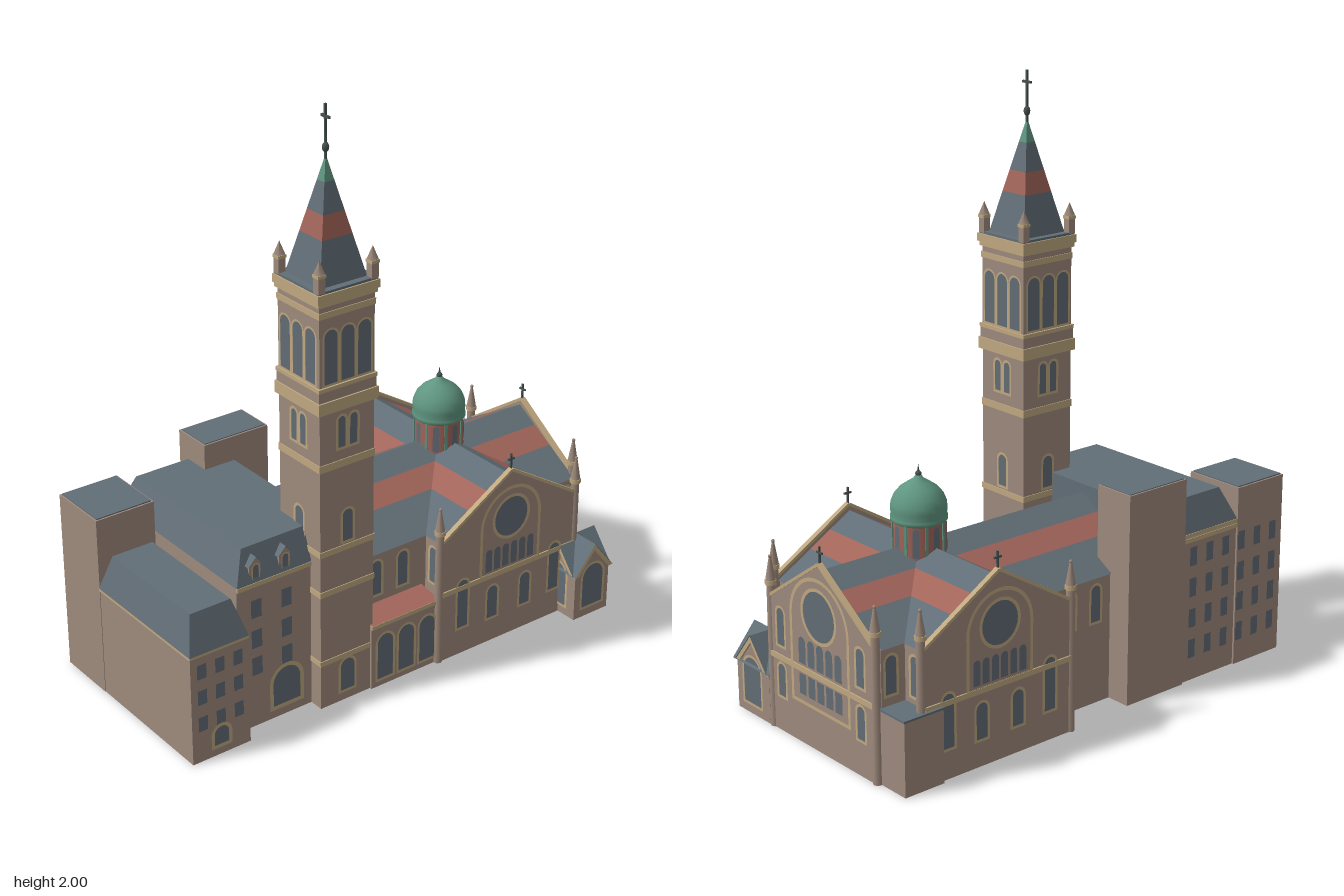
import * as THREE from 'three';

const mat = (name, color, side = THREE.FrontSide) => {
  const m = new THREE.MeshStandardMaterial({ color, side });
  m.name = name;
  return m;
};

export function createModel() {
  const root = new THREE.Group();
  root.name = 'church';
  const wall = mat('brownstone', 0x9e8a7c, THREE.DoubleSide), trim = mat('sandstone', 0xc0a880);
  const slate = mat('slate', 0x626e77, THREE.DoubleSide), glass = mat('glass', 0x626c75);
  const red = mat('redTile', 0xa2655a, THREE.DoubleSide), green = mat('copper', 0x5f9580);
  const dark = mat('darkMetal', 0x47514f);
  const CX = 0.44, CZ = -0.037, RIDGE = 0.612, SLOPE = 0.59;

  const add = (parent, name, geo, m) => {
    const mesh = new THREE.Mesh(geo, m);
    mesh.name = name;
    parent.add(mesh);
    return mesh;
  };
  // Drops the faces lying on the ground, leaving a hollow shell
  const hollow = source => {
    const geo = source.index ? source.toNonIndexed() : source;
    const p = geo.attributes.position, pos = [];
    for (let i = 0; i < p.count; i += 3) {
      if ([0, 1, 2].every(k => Math.abs(p.getY(i + k)) < 1e-5)) continue;
      for (let k = 0; k < 3; k++) pos.push(p.getX(i + k), p.getY(i + k), p.getZ(i + k));
    }
    const out = new THREE.BufferGeometry();
    out.setAttribute('position', new THREE.Float32BufferAttribute(pos, 3));
    out.computeVertexNormals();
    return out;
  };
  const box = (p, name, m, x0, x1, y0, y1, z0, z1) => {
    const geo = new THREE.BoxGeometry(x1 - x0, y1 - y0, z1 - z0).translate((x0 + x1) / 2, (y0 + y1) / 2, (z0 + z1) / 2);
    return add(p, name, y0 === 0 && m === wall ? hollow(geo) : geo, m);
  };
  const group = (name, x = 0, z = 0, rot = 0, parent = root) => {
    const g = new THREE.Group();
    g.name = name;
    g.position.set(x, 0, z);
    g.rotation.y = rot;
    parent.add(g);
    return g;
  };
  const extrude = (shape, depth) => new THREE.ExtrudeGeometry(shape, { depth, bevelEnabled: false });
  const poly = pts => new THREE.Shape(pts.map(p => new THREE.Vector2(...p)));
  const strips = (p, name, m, quads) => {
    const geo = new THREE.BufferGeometry();
    const pos = quads.flatMap(([a, b, c, d]) => [a, b, c, a, c, d]).flat();
    geo.setAttribute('position', new THREE.Float32BufferAttribute(pos, 3));
    geo.computeVertexNormals();
    return add(p, name, geo, m);
  };

  // Round-headed openings as flat faces just off the local z = 0 plane
  const arch = (w, y0, y1) => {
    const s = new THREE.Shape();
    s.moveTo(-w, y0); s.lineTo(w, y0); s.lineTo(w, y1 - w);
    s.absarc(0, y1 - w, w, 0, Math.PI, false);
    return s;
  };
  const archFrame = (p, u, w, y0, y1, t) => {
    const s = arch(w + t, y0 - t, y1 + t);
    s.holes.push(arch(w, y0, y1));
    add(p, 'archFrame', new THREE.ShapeGeometry(s, 10).translate(u, 0, 0.004), trim);
  };
  const archWindow = (p, u, w, y0, y1, t = 0.009) => {
    add(p, 'archWindow', new THREE.ShapeGeometry(arch(w, y0, y1), 10).translate(u, 0, 0.003), glass);
    if (t) archFrame(p, u, w, y0, y1, t);
  };
  const squareWindow = (p, u, y, w, h) =>
    add(p, 'window', new THREE.PlaneGeometry(w, h).translate(u, y, 0.003), glass);

  // Box whose top edge is drawn in: left, right, front, back
  const mansard = (p, x0, x1, y0, y1, z0, z1, [l, r, f, b]) => {
    const geo = new THREE.BoxGeometry(x1 - x0, y1 - y0, z1 - z0).toNonIndexed();
    const a = geo.attributes.position;
    for (let i = 0; i < a.count; i++) if (a.getY(i) > 0) {
      a.setX(i, a.getX(i) + (a.getX(i) < 0 ? l : -r));
      a.setZ(i, a.getZ(i) + (a.getZ(i) < 0 ? b : -f));
    }
    geo.computeVertexNormals();
    add(p, 'mansardRoof', geo.translate((x0 + x1) / 2, (y0 + y1) / 2, (z0 + z1) / 2), slate);
  };

  const cross = (p, y, z) => {
    const g = group('cross', 0, z, 0, p);
    box(g, 'crossPost', dark, -0.003, 0.003, y, y + 0.06, -0.003, 0.003);
    box(g, 'crossArm', dark, -0.014, 0.014, y + 0.037, y + 0.043, -0.003, 0.003);
  };

  // Crossing arms: pentagonal bodies and striped roofs, running along local z
  const arm = (name, x, z, rot, z0, z1) => {
    const g = group(name, x, z, rot), h = 0.284, e = 0.29, top = RIDGE - 0.005;
    add(g, 'walls', hollow(extrude(poly([[-h, 0], [h, 0], [h, top - h * SLOPE], [0, top], [-h, top - h * SLOPE]]), z1 - z0)), wall).position.z = z0;
    const bands = [[0, 0.08, slate], [0.08, 0.16, red], [0.16, e, slate]];
    for (const [d0, d1, m] of bands) strips(g, 'roofBand', m, [1, -1].map(s => {
      const q = [[s * d0, RIDGE - d0 * SLOPE, z0], [s * d0, RIDGE - d0 * SLOPE, z1],
        [s * d1, RIDGE - d1 * SLOPE, z1], [s * d1, RIDGE - d1 * SLOPE, z0]];
      return s > 0 ? q : q.reverse();
    }));
  };
  arm('nave', 0, CZ, Math.PI / 2, -0.26, 0.815);
  arm('transept', CX, 0, 0, -0.41, 0.33);

  // Gable fronts with corner pinnacles
  const gable = (name, x, z, rot, h, big) => {
    const g = group(name, x, z, rot), eave = 0.45, peak = 0.63;
    add(g, 'gableWall', hollow(extrude(poly([[-h, 0], [h, 0], [h, eave], [0, peak], [-h, eave]]), 0.014)), wall).position.z = -0.014;
    const len = Math.hypot(h, peak - eave), ang = Math.atan2(peak - eave, h);
    for (const s of [-1, 1]) {
      const c = add(g, 'coping', new THREE.BoxGeometry(len, 0.01, 0.018), trim);
      c.position.set(s * h / 2, (eave + peak) / 2 + 0.003, -0.006);
      c.rotation.z = -s * ang;
      const p = group('pinnacle', s * (h + 0.005), -0.008, 0, g);
      const post = (n, r0, r1, y0, y1, m) => add(p, n, new THREE.CylinderGeometry(r1, r0, y1 - y0, 8).translate(0, (y0 + y1) / 2, 0), m);
      post('pinnacleShaft', 0.016, 0.014, 0, 0.49, wall);
      post('pinnacleCollar', 0.019, 0.019, 0.485, 0.5, trim);
      post('pinnacleSpike', 0.017, 0.004, 0.5, 0.575, wall);
      add(p, 'pinnacleBall', new THREE.SphereGeometry(0.006, 8, 6).translate(0, 0.578, 0), wall);
    }
    cross(g, peak, -0.007);
    box(g, 'stringCourse', trim, -h, h, 0.247, 0.265, 0, 0.005);
    const r = big ? 0.082 : 0.072;
    add(g, 'roseWindow', new THREE.CircleGeometry(r, 28).translate(0, 0.46, 0.003), glass);
    add(g, 'roseFrame', new THREE.RingGeometry(r, r + 0.011, 28).translate(0, 0.46, 0.005), trim);
    if (big) {
      archFrame(g, 0, 0.142, 0.15, 0.573, 0.012);
      for (let i = -2; i <= 2; i++) {
        archWindow(g, i * 0.047, 0.018, 0.275, 0.365, 0);
        squareWindow(g, i * 0.047, 0.205, 0.036, 0.07);
      }
      for (const u of [-0.207, 0.207]) {
        archWindow(g, u, 0.019, 0.3, 0.425);
        archWindow(g, u, 0.019, 0.125, 0.235);
      }
    } else {
      archFrame(g, 0, 0.122, 0.267, 0.563, 0.012);
      for (let i = -2.5; i <= 2.5; i++) archWindow(g, i * 0.037, 0.014, 0.275, 0.36, 0);
      for (const u of [-0.205, 0.205]) archWindow(g, u, 0.022, 0.105, 0.285);
      for (const u of [-0.073, 0.073]) archWindow(g, u, 0.022, 0.095, 0.215);
    }
  };
  gable('frontGable', CX, 0.345, 0, 0.295, false);
  gable('backGable', CX, -0.425, Math.PI, 0.295, false);
  gable('eastGable', 0.832, CZ, Math.PI / 2, 0.265, true);

  // Side windows of nave and transept
  for (const s of [1, -1]) {
    const n = group('naveSide', 0, CZ + s * 0.284, s > 0 ? 0 : Math.PI);
    for (const x of [-0.055, 0.055, 0.78]) archWindow(n, s * x, 0.02, 0.29, 0.415);
    const t = group('transeptSide', CX + s * 0.284, 0, s * Math.PI / 2);
    for (const z of [0.29, -0.37]) archWindow(t, -s * z, 0.017, 0.28, 0.41);
  }

  // Low arcade with a lean-to roof
  const arcade = group('arcade', 0, 0.335);
  box(arcade, 'arcadeWall', wall, -0.14, 0.14, 0, 0.238, -0.1, 0);
  box(arcade, 'arcadeCornice', trim, -0.14, 0.14, 0.226, 0.24, -0.01, 0.005);
  for (const x of [-0.085, 0.003, 0.091]) archWindow(arcade, x, 0.032, 0.03, 0.195);
  strips(arcade, 'leanToRoof', red, [[[-0.14, 0.241, 0.005], [0.14, 0.241, 0.005], [0.14, 0.258, -0.09], [-0.14, 0.258, -0.09]]]);

  // Crossing lantern and dome
  const dome = group('lantern', CX, CZ);
  add(dome, 'drum', new THREE.CylinderGeometry(0.086, 0.086, 0.17, 24).translate(0, 0.61, 0), red);
  for (let i = 0; i < 8; i++) {
    const bay = group('drumBay', 0, 0, i * Math.PI / 4, dome);
    archWindow(group('drumOpening', 0, 0.0845, 0, bay), 0, 0.011, 0.585, 0.68, 0);
    const rib = group('drumRib', 0, 0, (i + 0.5) * Math.PI / 4, dome);
    box(rib, 'rib', green, -0.005, 0.005, 0.54, 0.69, 0.08, 0.089);
  }
  const domePts = [[0.086, 0.685], [0.092, 0.69], [0.092, 0.7], [0.088, 0.706], [0.091, 0.725], [0.089, 0.745],
    [0.079, 0.77], [0.06, 0.792], [0.037, 0.808], [0.018, 0.82], [0.006, 0.836]];
  add(dome, 'dome', new THREE.LatheGeometry(domePts.map(p => new THREE.Vector2(...p)), 24), green);
  add(dome, 'finialBall', new THREE.SphereGeometry(0.01, 10, 8).translate(0, 0.836, 0), dark);
  add(dome, 'finialSpike', new THREE.ConeGeometry(0.005, 0.03, 8).translate(0, 0.853, 0), dark);

  // Bell tower
  const tower = group('tower', -0.235, 0.222);
  const tier = (name, m, h, y0, y1) => box(tower, name, m, -h, h, y0, y1, -h, h);
  tier('shaft', wall, 0.105, 0, 1.43);
  for (const [y0, y1] of [[0.16, 0.178], [0.415, 0.435], [0.56, 0.58], [0.86, 0.885], [1.375, 1.395]]) tier('band', trim, 0.108, y0, y1);
  tier('lowerCornice', trim, 0.115, 1.06, 1.1);
  tier('balcony', wall, 0.11, 1.1, 1.135);
  tier('belfrySill', trim, 0.112, 1.135, 1.148);
  tier('corniceTrim', trim, 0.112, 1.415, 1.43);
  tier('upperCornice', trim, 0.117, 1.43, 1.457);
  tier('spireBase', slate, 0.112, 1.457, 1.465);
  for (let i = 0; i < 4; i++) {
    const g = group('towerFace', 0, 0, i * Math.PI / 2, tower), f = group('openings', 0, 0.105, 0, g);
    for (const u of [-0.064, 0, 0.064]) archWindow(f, u, 0.025, 1.157, 1.335, 0.007);
    for (const u of [-0.023, 0.023]) archWindow(f, u, 0.014, 0.93, 1.035);
    archWindow(f, 0, 0.02, 0.595, 0.705);
    if (i === 0) archWindow(f, 0, 0.028, 0.04, 0.155);
    const p = group('cornerPinnacle', 0.1, 0.1, 0, g);
    box(p, 'turret', wall, -0.013, 0.013, 1.46, 1.515, -0.013, 0.013);
    box(p, 'turretCap', trim, -0.015, 0.015, 1.51, 1.52, -0.015, 0.015);
    add(p, 'turretSpike', new THREE.ConeGeometry(0.019, 0.045, 4).rotateY(Math.PI / 4).translate(0, 1.542, 0), wall);
  }
  // Spire in coloured tiers
  const spireR = y => Math.SQRT2 * 0.088 * (1.845 - y) / 0.38;
  for (const [y0, y1, m] of [[1.465, 1.6, slate], [1.6, 1.672, red], [1.672, 1.765, slate], [1.765, 1.845, green]])
    add(tower, 'spireTier', new THREE.CylinderGeometry(spireR(y1), spireR(y0), y1 - y0, 4, 1, true).rotateY(Math.PI / 4)
      .translate(0, (y0 + y1) / 2, 0).toNonIndexed(), m).geometry.computeVertexNormals();
  add(tower, 'spireBall', new THREE.SphereGeometry(0.011, 10, 8).scale(1, 1.5, 1).translate(0, 1.866, 0), dark);
  box(tower, 'mast', dark, -0.0035, 0.0035, 1.83, 2, -0.0035, 0.0035);
  box(tower, 'mastArm', dark, -0.0035, 0.0035, 1.957, 1.965, -0.02, 0.02);

  // Corner porch with crossed gables
  const porch = group('porch', 0.757, 0.335);
  box(porch, 'porchWalls', wall, -0.078, 0.078, 0, 0.175, -0.09, 0.09);
  for (const rot of [0, Math.PI / 2, Math.PI, -Math.PI / 2]) {
    const g = group('porchSide', 0, 0, rot, porch), d = rot % Math.PI ? 0.078 : 0.09, w = 0.088;
    add(g, 'porchGable', extrude(poly([[-w + 0.01, 0.17], [w - 0.01, 0.17], [0, 0.268]]), d), wall);
    strips(g, 'porchRoof', slate, [
      [[0, 0.28, 0], [0, 0.28, d + 0.01], [w, 0.172, d + 0.01], [w, 0.172, 0]],
      [[-w, 0.172, 0], [-w, 0.172, d + 0.01], [0, 0.28, d + 0.01], [0, 0.28, 0]]]);
    add(g, 'gableTrim', extrude(poly([[-w, 0.17], [-w + 0.018, 0.17], [0, 0.255], [w - 0.018, 0.17], [w, 0.17], [0, 0.278]]), 0.008), trim).position.z = d;
    archWindow(group('porchOpening', 0, d + 0.001, 0, g), 0, 0.047, 0.04, 0.2);
  }

  // Rear corner vestry
  box(root, 'vestry', wall, 0.67, 0.82, 0, 0.245, -0.437, -0.28);
  box(root, 'vestryRoof', slate, 0.668, 0.822, 0.245, 0.252, -0.439, -0.28);

  // Parish house: middle wing, side wing and stair block
  const house = group('parishHouse');
  box(house, 'middleWing', wall, -0.625, -0.26, 0, 0.53, -0.4, 0.275);
  box(house, 'middleCornice', trim, -0.625, -0.258, 0.515, 0.53, -0.406, 0.281);
  mansard(house, -0.625, -0.258, 0.53, 0.64, -0.404, 0.279, [0.045, 0, 0.04, 0.045]);
  box(house, 'sideWing', wall, -0.84, -0.622, 0, 0.39, -0.185, 0.332);
  box(house, 'sideCornice', trim, -0.843, -0.622, 0.383, 0.392, -0.185, 0.335);
  mansard(house, -0.843, -0.622, 0.392, 0.515, -0.185, 0.335, [0.035, 0.035, 0.045, 0.035]);
  box(house, 'rearWing', wall, -0.842, -0.625, 0, 0.638, -0.407, -0.183);
  box(house, 'rearWingRoof', slate, -0.836, -0.631, 0.635, 0.642, -0.401, -0.189);
  box(house, 'stairBlock', wall, -0.375, -0.121, 0, 0.728, -0.409, -0.26);
  box(house, 'stairBlockRoof', slate, -0.369, -0.127, 0.724, 0.731, -0.403, -0.266);

  // Dormers on the front eave
  for (const x of [-0.55, -0.437]) {
    const g = group('dormer', x, 0.275, 0, house);
    add(g, 'dormerWall', extrude(poly([[-0.022, 0.53], [0.022, 0.53], [0.022, 0.59], [0, 0.612], [-0.022, 0.59]]), 0.04), wall).position.z = -0.045;
    strips(g, 'dormerRoof', slate, [1, -1].map(s => [[0, 0.618, -0.045], [0, 0.618, 0.002], [s * 0.03, 0.587, 0.002], [s * 0.03, 0.587, -0.045]]));
    archWindow(group('dormerFace', 0, -0.004, 0, g), 0, 0.011, 0.54, 0.59, 0.005);
  }

  // House windows and doors
  const front = group('middleFront', 0, 0.275, 0, house), side = group('sideFront', 0, 0.332, 0, house);
  for (const x of [-0.553, -0.437]) for (const y of [0.435, 0.325, 0.225]) squareWindow(front, x, y, 0.04, 0.065);
  archWindow(front, -0.44, 0.053, 0.045, 0.18, 0.014);
  for (const x of [-0.8, -0.733, -0.665]) for (const y of [0.33, 0.237, 0.14]) squareWindow(side, x, y, 0.034, 0.052);
  archWindow(side, -0.733, 0.027, 0.04, 0.105, 0.012);
  const back = group('houseBack', 0, -0.407, Math.PI, house);
  for (let i = 0; i < 6; i++) for (const y of [0.12, 0.23, 0.34, 0.45]) squareWindow(back, 0.415 + i * 0.076, y, 0.032, 0.066);
  box(house, 'rearBand', trim, -0.625, -0.375, 0.5, 0.515, -0.408, -0.39);
  return root;
}
